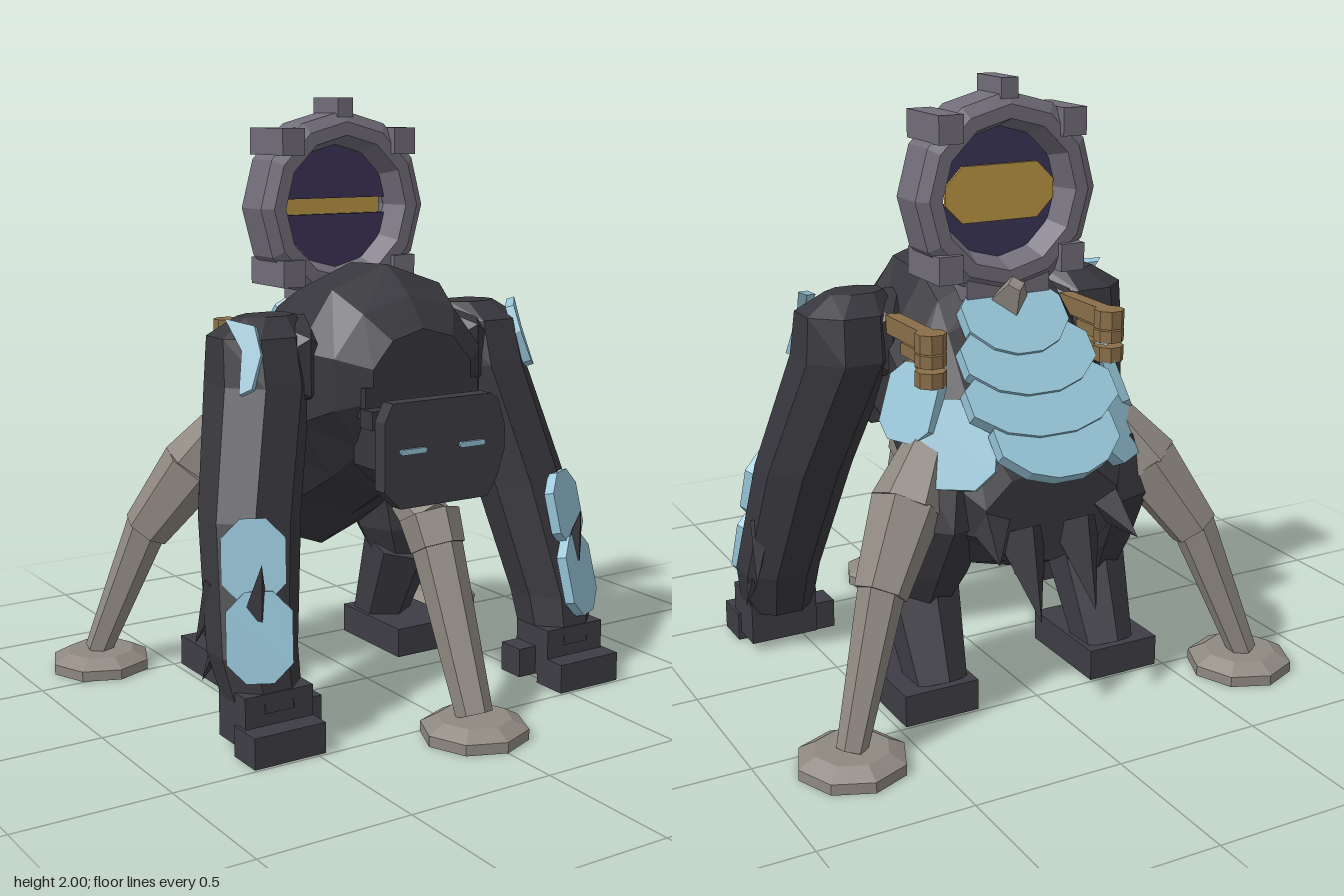
import * as THREE from 'three';

const mat = (name, color) => Object.assign(new THREE.MeshStandardMaterial({ color }), { name });
const V = (p) => new THREE.Vector3(...p);

// Faceted normals, with corners ordered so the faces point outwards
function facet(geo) {
  const g = geo.index ? geo.toNonIndexed() : geo;
  const p = g.attributes.position;
  const a = new THREE.Vector3(), b = new THREE.Vector3(), c = new THREE.Vector3();
  let volume = 0;
  for (let i = 0; i < p.count; i += 3) {
    a.fromBufferAttribute(p, i); b.fromBufferAttribute(p, i + 1); c.fromBufferAttribute(p, i + 2);
    volume += a.dot(b.cross(c));
  }
  if (volume < 0) for (let i = 0; i < p.count; i += 3) {
    b.fromBufferAttribute(p, i + 1); c.fromBufferAttribute(p, i + 2);
    p.setXYZ(i + 1, c.x, c.y, c.z); p.setXYZ(i + 2, b.x, b.y, b.z);
  }
  g.computeVertexNormals();
  return g;
}

// Capped skin over elliptical sections [x, y, z, ru, rv], stacked along y or z
function loft(rows, n, axis) {
  const pos = [], idx = [];
  for (const [x, y, z, ru, rv] of rows) for (let i = 0; i < n; i++) {
    const t = (i + 0.5) / n * Math.PI * 2, u = ru * Math.cos(t), v = rv * Math.sin(t);
    pos.push(x + u, y + (axis === 'z' ? v : 0), z + (axis === 'z' ? 0 : v));
  }
  const last = (rows.length - 1) * n;
  for (let r = 0; r < last; r += n) for (let i = 0; i < n; i++) {
    const j = (i + 1) % n;
    idx.push(r + i, r + n + i, r + j, r + j, r + n + i, r + n + j);
  }
  for (let i = 1; i < n - 1; i++) idx.push(0, i, i + 1, last, last + i + 1, last + i);
  const g = new THREE.BufferGeometry();
  g.setAttribute('position', new THREE.Float32BufferAttribute(pos, 3));
  g.setIndex(idx);
  return g;
}

const plateGeo = (pts, depth) => new THREE.ExtrudeGeometry(
  new THREE.Shape(pts.map(([x, y]) => new THREE.Vector2(x, y))), { depth, bevelEnabled: false });

// Rectangle with cut corners
const cutRect = (w, h, c) => [[-w / 2 + c, -h / 2], [w / 2 - c, -h / 2], [w / 2, -h / 2 + c], [w / 2, h / 2 - c],
  [w / 2 - c, h / 2], [-w / 2 + c, h / 2], [-w / 2, h / 2 - c], [-w / 2, -h / 2 + c]];

export function createModel() {
  const fur = mat('dark fur', 0x38373d), hide = mat('dark hide', 0x3e3d45), steel = mat('grey steel', 0x716d79),
    stand = mat('warm grey', 0x8e8880), armor = mat('light blue', 0x94c2d5), lens = mat('dark violet', 0x3b3458),
    amber = mat('amber', 0xbd9643), brass = mat('brown', 0x8a6e48);
  const root = new THREE.Group();
  root.name = 'mechanicalApe';

  const add = (name, geo, m, p = [0, 0, 0], parent = root) => {
    const mesh = new THREE.Mesh(facet(geo), m);
    mesh.name = name;
    mesh.position.set(...p);
    parent.add(mesh);
    return mesh;
  };
  const box = (name, size, p, m, parent) => add(name, new THREE.BoxGeometry(...size), m, p, parent);
  // Tapered rod from a to b
  const rod = (name, a, b, ra, rb, n, m) => {
    const A = V(a), B = V(b), d = B.clone().sub(A);
    const mesh = add(name, new THREE.CylinderGeometry(rb, ra, d.length(), n), m, A.clone().add(B).multiplyScalar(0.5).toArray());
    mesh.quaternion.setFromUnitVectors(new THREE.Vector3(0, 1, 0), d.normalize());
  };
  // Plate facing along a normal
  const plate = (name, pts, depth, p, normal, m) => {
    const mesh = add(name, plateGeo(pts, depth), m, p);
    mesh.lookAt(V(p).add(V(normal)));
  };

  // Torso
  add('torso', loft([[0, 1.1, 0.33, 0.2, 0.17], [0, 1.1, 0.25, 0.3, 0.27], [0, 1.08, 0.12, 0.36, 0.38],
    [0, 1.01, -0.1, 0.36, 0.44], [0, 0.93, -0.22, 0.37, 0.46], [0, 0.86, -0.3, 0.38, 0.44],
    [0, 0.74, -0.45, 0.37, 0.3], [0, 0.67, -0.58, 0.25, 0.16]], 10, 'z'), fur);

  // Head and face plate
  add('head', plateGeo(cutRect(0.4, 0.25, 0.06), 0.17), fur, [0, 0.9, 0.23]);
  box('collar', [0.44, 0.1, 0.12], [0, 1.045, 0.27], fur);
  box('brow', [0.46, 0.06, 0.07], [0, 1.0, 0.35], fur);
  add('facePlate', plateGeo([[-0.16, 0.72], [0.18, 0.72], [0.22, 0.78], [0.25, 0.87], [0.25, 0.95], [0.22, 1.04],
    [0.19, 1.06], [-0.19, 1.06], [-0.22, 1.0], [-0.22, 0.78]], 0.055), hide, [0, 0, 0.385]);
  for (const s of [1, -1]) add('eye', plateGeo(cutRect(0.1, 0.018, 0.006), 0.009), armor, [s * 0.115, 0.903, 0.44]);

  for (const s of [1, -1]) {
    const mx = (rows) => rows.map(([x, ...r]) => [s * x, ...r]);
    const m1 = ([x, y, z]) => [s * x, y, z];

    // Arm, shoulder and hand
    add('arm', loft(mx([[0.4, 1.31, 0.02, 0.1, 0.07], [0.435, 1.25, 0.02, 0.165, 0.15], [0.44, 1.1, 0.03, 0.17, 0.185],
      [0.54, 0.7, 0.15, 0.165, 0.16], [0.6, 0.3, 0.265, 0.145, 0.14], [0.59, 0.14, 0.31, 0.125, 0.12]]), 8, 'y'), fur);
    add('shoulder', new THREE.IcosahedronGeometry(0.18, 0), fur, m1([0.33, 1.15, 0.03]));
    box('palm', [0.24, 0.17, 0.17], m1([0.59, 0.115, 0.33]), hide);
    box('fingers', [0.25, 0.1, 0.13], m1([0.595, 0.05, 0.425]), hide);
    box('thumb', [0.08, 0.1, 0.1], m1([0.44, 0.08, 0.3]), hide);

    // Hind leg and foot
    add('thigh', loft(mx([[0.27, 0.85, -0.38, 0.14, 0.14], [0.3, 0.65, -0.36, 0.16, 0.2],
      [0.31, 0.46, -0.3, 0.145, 0.16], [0.32, 0.34, -0.28, 0.1, 0.11]]), 7, 'y'), fur);
    rod('shin', m1([0.32, 0.4, -0.26]), m1([0.32, 0.08, -0.4]), 0.135, 0.1, 6, hide);
    box('foot', [0.26, 0.105, 0.37], m1([0.345, 0.0525, -0.305]), hide);

    // Armour on shoulder, forearm and flank
    plate('shoulderArmor', [[0.07, 0.12], [-0.03, 0.1], [-0.06, 0.01], [-0.04, -0.1], [0, -0.12], [0.005, 0.02]]
      .map(([x, y]) => [s * x, y]), 0.03, m1([0.535, 1.19, 0.125]), [s * 0.65, 0.3, 0.6], armor);
    plate('upperForearmArmor', cutRect(0.2, 0.26, 0.06), 0.035, m1([0.61, 0.59, 0.295]), [s * 0.45, 0.22, 0.87], armor);
    plate('lowerForearmArmor', cutRect(0.205, 0.28, 0.06), 0.035, m1([0.625, 0.365, 0.355]), [s * 0.45, 0.22, 0.87], armor);
    plate('flankArmor', cutRect(0.2, 0.25, 0.05), 0.04, m1([0.35, 1.01, -0.33]), [s * 0.8, 0.35, -0.35], armor);
    plate('rearFlankArmor', cutRect(0.24, 0.28, 0.06), 0.04, m1([0.27, 0.9, -0.46]), [s * 0.5, 0.4, -0.75], armor);

    // Stacked brackets beside the back
    [[1.22, 0.31, 0.06], [1.165, 0.2, 0.04], [1.105, 0.18, 0.05]].forEach(([y, len, h]) => {
      box('bracketBar', [0.05, h, len], m1([0.325, y, -0.42 + len / 2]), brass);
      const end = add('bracketEnd', new THREE.CylinderGeometry(0.05, 0.05, h, 8), brass, m1([0.325, y, -0.38]));
      end.rotation.y = Math.PI / 8;
    });

    // Rear support leg
    rod('supportSleeve', m1([0.3, 0.95, -0.36]), m1([0.44, 0.73, -0.44]), 0.06, 0.115, 6, stand);
    rod('supportSleeve', m1([0.44, 0.73, -0.44]), m1([0.58, 0.5, -0.54]), 0.115, 0.085, 6, stand);
    rod('supportRod', m1([0.57, 0.53, -0.535]), m1([0.73, 0.06, -0.64]), 0.075, 0.048, 6, stand);

    // Tufts of fur
    [[[0.68, 0.5, 0.2], [0.73, 0.3, 0.13], 0.05], [[0.66, 0.4, 0.24], [0.745, 0.2, 0.2], 0.05],
      [[0.63, 0.43, 0.34], [0.63, 0.6, 0.385], 0.045],
      [[0.2, 0.68, -0.52], [0.25, 0.58, -0.69], 0.08], [[0.1, 0.62, -0.55], [0.1, 0.36, -0.69], 0.09]]
      .forEach(([a, b, r]) => rod('furTuft', m1(a), m1(b), r, 0, 4, fur));
  }

  // Overlapping shields down the back
  const slope = V([0, -0.773, -0.634]);
  [[0.36, 0.09], [0.46, 0.23], [0.52, 0.37], [0.42, 0.51]].forEach(([w, t]) => {
    const c = V([0, 1.3, -0.25]).addScaledVector(slope, t), h = w / 2;
    plate('backShield', [[-h * 0.7, 0.11], [h * 0.7, 0.11], [h, 0.05], [h, -0.04], [h * 0.65, -0.11], [h * 0.25, -0.14],
      [-h * 0.25, -0.14], [-h * 0.65, -0.11], [-h, -0.04], [-h, 0.05]], 0.045, c.toArray(), [0, 0.69, -0.72], armor);
  });

  // Front support leg
  rod('frontSupportMount', [0, 0.7, 0.26], [0, 0.64, 0.38], 0.07, 0.085, 6, stand);
  rod('frontSupportSleeve', [0, 0.67, 0.37], [0, 0.57, 0.42], 0.1, 0.09, 6, stand);
  rod('frontSupportRod', [0, 0.6, 0.405], [0, 0.07, 0.625], 0.085, 0.06, 6, stand);

  // Support pads
  for (const [x, z] of [[0, 0.625], [0.725, -0.63], [-0.725, -0.63]])
    add('supportPad', new THREE.LatheGeometry([[0, 0], [0.175, 0], [0.175, 0.035], [0.12, 0.065], [0, 0.065]]
      .map(([r, y]) => new THREE.Vector2(r, y)), 8), stand, [x, 0, z]);

  // Ring scope with split lens
  const scope = new THREE.Group();
  scope.name = 'scope';
  scope.position.set(0, 1.635, -0.21);
  root.add(scope);
  const ring = add('scopeRing', new THREE.LatheGeometry([[0.205, 0], [0.24, 0.09], [0.285, 0.09], [0.322, 0.065],
    [0.322, -0.065], [0.285, -0.09], [0.24, -0.09], [0.205, 0]].map(([r, y]) => new THREE.Vector2(r, y)), 12),
  steel, [0, 0, 0], scope);
  ring.rotation.x = Math.PI / 2;
  for (const x of [-0.22, 0.22]) for (const y of [-0.215, 0.22])
    box('scopeCorner', [0.085, 0.09, 0.22], [x, y, 0], steel, scope);
  box('scopeTop', [0.06, 0.065, 0.16], [0, 0.3325, 0], steel, scope);
  box('scopeBase', [0.3, 0.08, 0.16], [0, -0.29, 0], steel, scope);
  const lid = [];
  for (let i = 0; i <= 10; i++) {
    const t = 0.13 + (Math.PI - 0.26) * i / 10;
    lid.push([0.208 * Math.cos(t), 0.208 * Math.sin(t)]);
  }
  add('upperLens', plateGeo(lid, 0.02), lens, [0, 0, -0.01], scope);
  add('lowerLens', plateGeo(lid.map(([x, y]) => [x, -y]), 0.02), lens, [0, 0, -0.01], scope);
  add('lensBand', plateGeo(cutRect(0.39, 0.18, 0.06), 0.009), amber, [0, 0, -0.022], scope);

  // Mount behind the scope
  rod('scopeMount', [0, 1.24, -0.24], [0, 1.36, -0.34], 0.11, 0.03, 4, stand);
  return root;
}
